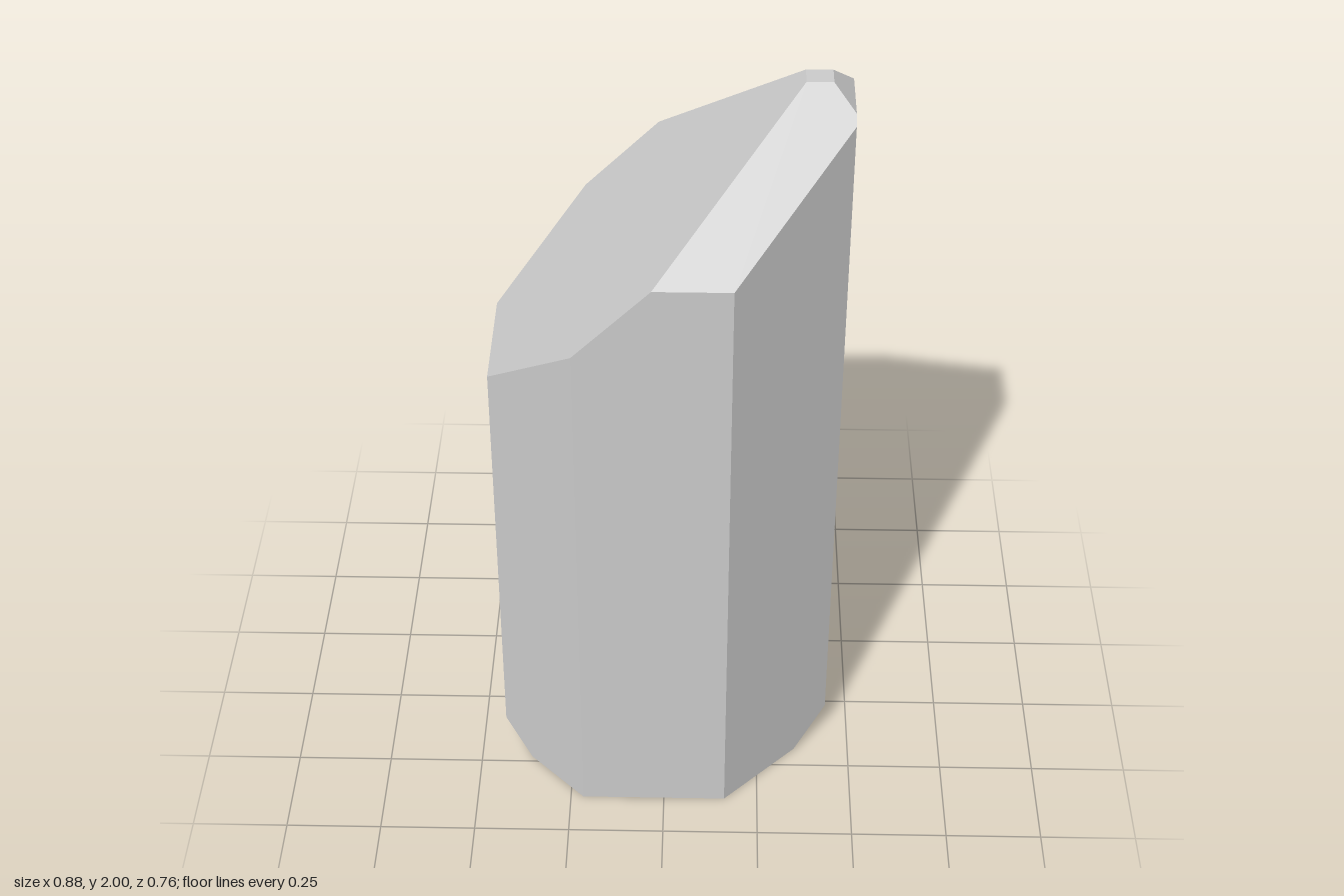
import * as THREE from 'three';
import { ConvexGeometry } from 'three/addons/geometries/ConvexGeometry.js';

// Planes of the crystal (mirrored front to back)
const X = 0.438, Z = 0.379;
const slantX = y => y - 1.678;        // large sloping facet
const roofZ = y => 2.029 - y;         // front and back roof facets
const tipX = y => 2.386 - y;          // small facet at the tip
const rightZ = x => 0.541 - x;        // diagonal walls on the +x side
const leftZ = x => 0.596 + x;         // diagonal walls on the -x side
const slantY = x => x + 1.678;

export function createModel() {
  const group = new THREE.Group();
  const xl = Z - 0.596, xr = 0.541 - Z, roofY = 2.029 - Z, tipY = 2.386 - X;
  const bl = -X + 0.075, br = X - 0.085;

  const half = [
    // base outline and its two end bevels
    [bl, 0, leftZ(bl)], [xl, 0, Z], [xr, 0, Z], [br, 0, rightZ(br)],
    [-X, 0.075, leftZ(-X)], [X, 0.085, rightZ(X)],
    // upper ends of the walls
    [-X, slantY(-X), leftZ(-X)], [xl, slantY(xl), Z],
    [slantX(roofY), roofY, Z], [xr, roofY, Z],
    [X, 2.029 - rightZ(X), rightZ(X)],
    // tip
    [X, tipY, roofZ(tipY)], [slantX(2), 2, roofZ(2)], [tipX(2), 2, roofZ(2)],
  ];

  const points = half.flatMap(([x, y, z]) => [
    new THREE.Vector3(x, y, z), new THREE.Vector3(x, y, -z),
  ]);
  const crystal = new THREE.Mesh(
    new ConvexGeometry(points),
    new THREE.MeshStandardMaterial({ color: 0xcccccc, flatShading: true }),
  );
  crystal.name = 'crystal';
  group.add(crystal);
  return group;
}
